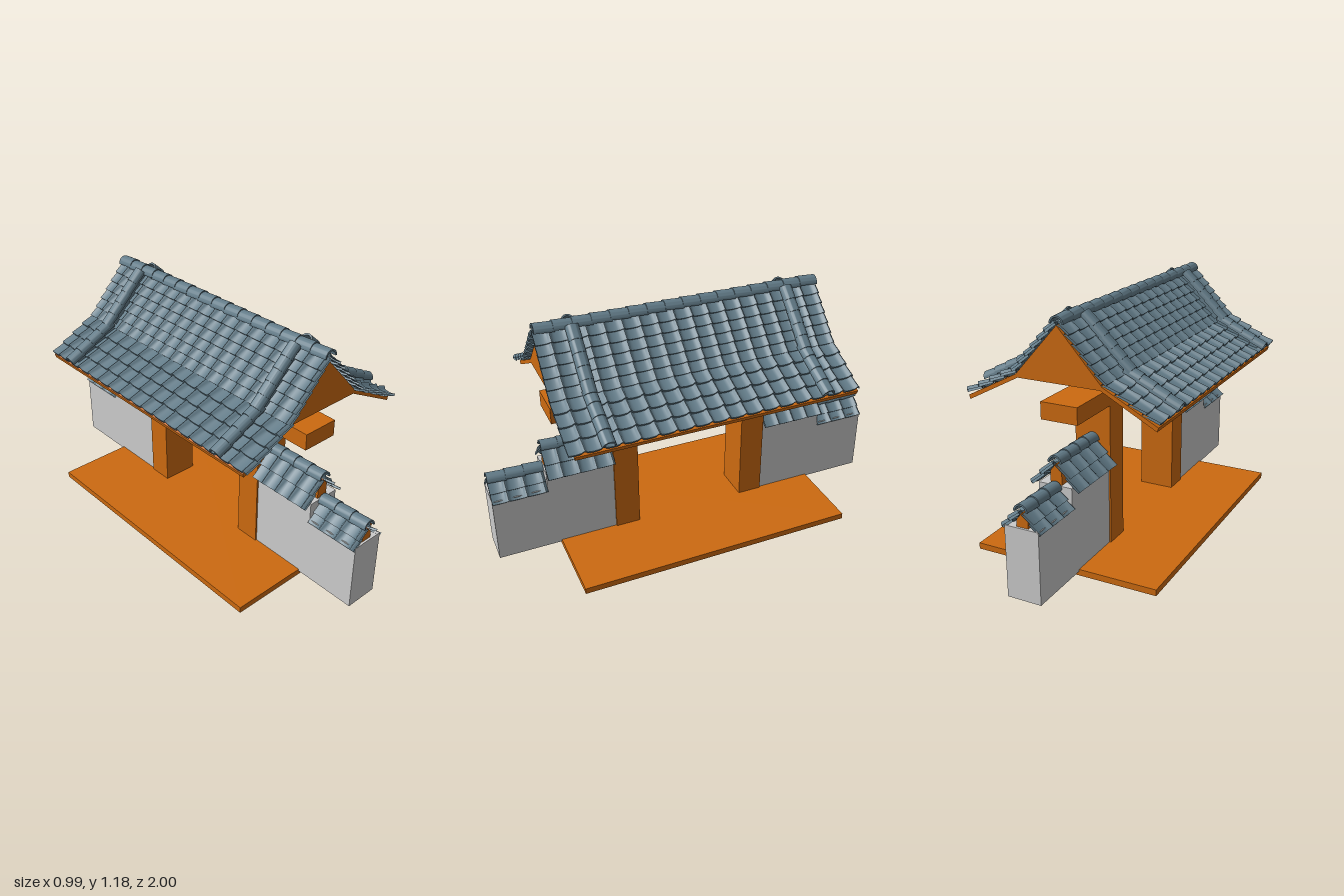
import * as THREE from 'three';
import { toCreasedNormals } from 'three/addons/utils/BufferGeometryUtils.js';

const mat = (color) => new THREE.MeshStandardMaterial({ color, side: THREE.DoubleSide });
const wood = mat(0xcc6a10), tile = mat(0x627b88), plaster = mat(0xcccccc), gold = mat(0xbdb510);

function add(parent, name, geo, material, x = 0, y = 0, z = 0) {
  const m = new THREE.Mesh(geo, material);
  m.name = name;
  m.position.set(x, y, z);
  parent.add(m);
  return m;
}
// box given by its min and max corners
function box(parent, name, material, [x0, y0, z0], [x1, y1, z1]) {
  return add(parent, name, new THREE.BoxGeometry(x1 - x0, y1 - y0, z1 - z0), material,
    (x0 + x1) / 2, (y0 + y1) / 2, (z0 + z1) / 2);
}
// outline in x,y extruded from z0 to z1
function prism(parent, name, material, pts, z0, z1) {
  const shape = new THREE.Shape(pts.map(([x, y]) => new THREE.Vector2(x, y)));
  const geo = new THREE.ExtrudeGeometry(shape, { depth: z1 - z0, bevelEnabled: false });
  return add(parent, name, geo, material, 0, 0, z0);
}

// One course of roof tiles: x runs down the slope, y is the slope's normal
function courseGeometry(length, width, columns) {
  const steps = [0, 0.075, 0.15, 0.225, 0.3, 0.475, 0.65, 0.825];
  const loop = [[-0.01, 0.006], [length, 0.02], [length, 0.009], [-0.01, -0.003]];
  const n = columns * steps.length + 1, pos = [], index = [];
  for (const [u, v] of loop) {
    for (let k = 0; k < n; k++) {
      const t = steps[k % steps.length];
      const wave = t < 0.3 ? 0.013 * Math.sin(Math.PI * t / 0.3) : -0.005 * Math.sin(Math.PI * (t - 0.3) / 0.7);
      pos.push(u, v + wave, ((Math.floor(k / steps.length) + t) / columns - 0.5) * width);
    }
  }
  for (let j = 0; j < 4; j++) {
    for (let k = 0; k < n - 1; k++) {
      const a = j * n + k, b = ((j + 1) % 4) * n + k;
      index.push(a, a + 1, b + 1, a, b + 1, b);
    }
  }
  const geo = new THREE.BufferGeometry();
  geo.setAttribute('position', new THREE.Float32BufferAttribute(pos, 3));
  geo.setIndex(index);
  geo.computeVertexNormals();
  return toCreasedNormals(geo, 0.9);
}

// Half-round ridge tile, axis along z
function barrelGeometry(r, length) {
  const s = new THREE.Shape();
  s.absarc(0, 0, r, 0, Math.PI, false);
  s.absarc(0, 0, r - 0.008, Math.PI, 0, true);
  return toCreasedNormals(new THREE.ExtrudeGeometry(s, { depth: length, bevelEnabled: false, curveSegments: 10 }), 0.6);
}

// Group whose x axis runs down the slope from a to b
function slopeGroup(parent, a, b) {
  const g = new THREE.Group();
  g.position.set(a[0], a[1], 0);
  g.rotation.z = Math.atan2(b[1] - a[1], b[0] - a[0]);
  parent.add(g);
  return [g, Math.hypot(b[0] - a[0], b[1] - a[1])];
}

function tileSlope(parent, a, b, width, courses, columns) {
  const [g, len] = slopeGroup(parent, a, b);
  g.name = 'tileSlope';
  const step = len / courses, geo = courseGeometry(step + 0.004, width, columns);
  for (let i = 0; i < courses; i++) add(g, 'tileCourse', geo, tile, i * step);
}

// Overlapping barrels down a slope
function descendingRidge(parent, a, b, z, count) {
  const [g, len] = slopeGroup(parent, a, b);
  g.name = 'descendingRidge';
  const step = len / count, geo = barrelGeometry(0.032, step + 0.01).rotateY(Math.PI / 2);
  for (let i = 0; i < count; i++) add(g, 'ridgeTile', geo, tile, i * step, 0.026, z).rotation.z = 0.07;
  box(g, 'ridgeBed', tile, [0, 0, z - 0.02], [len - 0.02, 0.035, z + 0.02]);
}

// Overlapping barrels along the top
function topRidge(parent, y, r, z0, z1, count) {
  const step = (z1 - z0) / count, geo = barrelGeometry(r, step + 0.006);
  for (let i = 0; i < count; i++) add(parent, 'ridgeTile', geo, tile, 0, y, z0 + i * step).rotation.x = -0.06;
}

// Plastered wall with its own small tiled roof
function wallSection(parent, z0, z1, top, peak, half, eave, columns) {
  const g = new THREE.Group();
  g.name = 'wallSection';
  parent.add(g);
  box(g, 'wall', plaster, [-0.082, 0.02, z0], [0.082, top, z1]);
  prism(g, 'wallRoofCore', wood,
    [[-0.028, top], [0.028, top], [0.028, peak - 0.035], [0, peak], [-0.028, peak - 0.035]], z0, z1 - 0.01);
  const roof = new THREE.Group();
  roof.name = 'wallRoof';
  roof.position.z = (z0 + z1) / 2;
  g.add(roof);
  for (const turn of [0, Math.PI]) {
    const side = new THREE.Group();
    side.rotation.y = turn;
    roof.add(side);
    tileSlope(side, [0.012, peak - 0.01], [half, eave], z1 - z0, 2, columns);
  }
  topRidge(g, peak + 0.003, 0.034, z0, z1 - 0.004, columns);
}

export function createModel() {
  const model = new THREE.Group();
  model.name = 'tiledGate';

  // Floor, posts and beams
  box(model, 'floor', wood, [-0.46, 0, -0.69], [0.46, 0.03, 0.69]);
  box(model, 'crossBeam', wood, [-0.09, 0.71, -0.69], [0.09, 0.79, 0.69]);
  box(model, 'centreBlock', wood, [-0.09, 0.79, -0.16], [0.09, 0.88, 0.16]);
  for (const s of [-1, 1]) {
    const z = s * 0.343;
    box(model, 'post', wood, [-0.09, 0.03, z - 0.062], [0.09, 0.71, z + 0.062]);
    box(model, 'strut', wood, [-0.05, 0.79, z - 0.055], [0.05, 0.88, z + 0.055]);
  }
  const plate = box(model, 'namePlate', gold, [0.106, 0.707, -0.107], [0.114, 0.793, 0.107]);
  plate.rotation.z = -0.35;

  // Roof body: gabled prism with thin flared eaves
  prism(model, 'roofBody', wood, [[0, 1.13], [-0.21, 0.895], [-0.463, 0.764], [-0.457, 0.745], [-0.2, 0.88],
    [0.2, 0.88], [0.457, 0.745], [0.463, 0.764], [0.21, 0.895]], -0.69, 0.69);

  // Main roof tiles
  const roof = new THREE.Group();
  roof.name = 'roofTiles';
  roof.position.z = 0.015;
  model.add(roof);
  const top = [0.01, 1.127], bend = [0.215, 0.9], eave = [0.46, 0.77];
  for (const turn of [0, Math.PI]) {
    const side = new THREE.Group();
    side.name = 'roofSide';
    side.rotation.y = turn;
    roof.add(side);
    tileSlope(side, top, bend, 1.41, 6, 17);
    tileSlope(side, bend, eave, 1.41, 4, 17);
    for (const z of [-0.53, 0.53]) {
      descendingRidge(side, top, [0.225, 0.905], z, 5);
      descendingRidge(side, bend, eave, z, 4);
    }
  }
  topRidge(roof, 1.135, 0.035, -0.705, 0.695, 16);

  // Stepped walls on both ends
  for (const turn of [0, Math.PI]) {
    const wing = new THREE.Group();
    wing.name = 'wallWing';
    wing.rotation.y = turn;
    model.add(wing);
    wallSection(wing, 0.405, 0.735, 0.44, 0.535, 0.105, 0.42, 4);
    wallSection(wing, 0.735, 1.0, 0.355, 0.422, 0.078, 0.337, 3);
  }
  return model;
}
